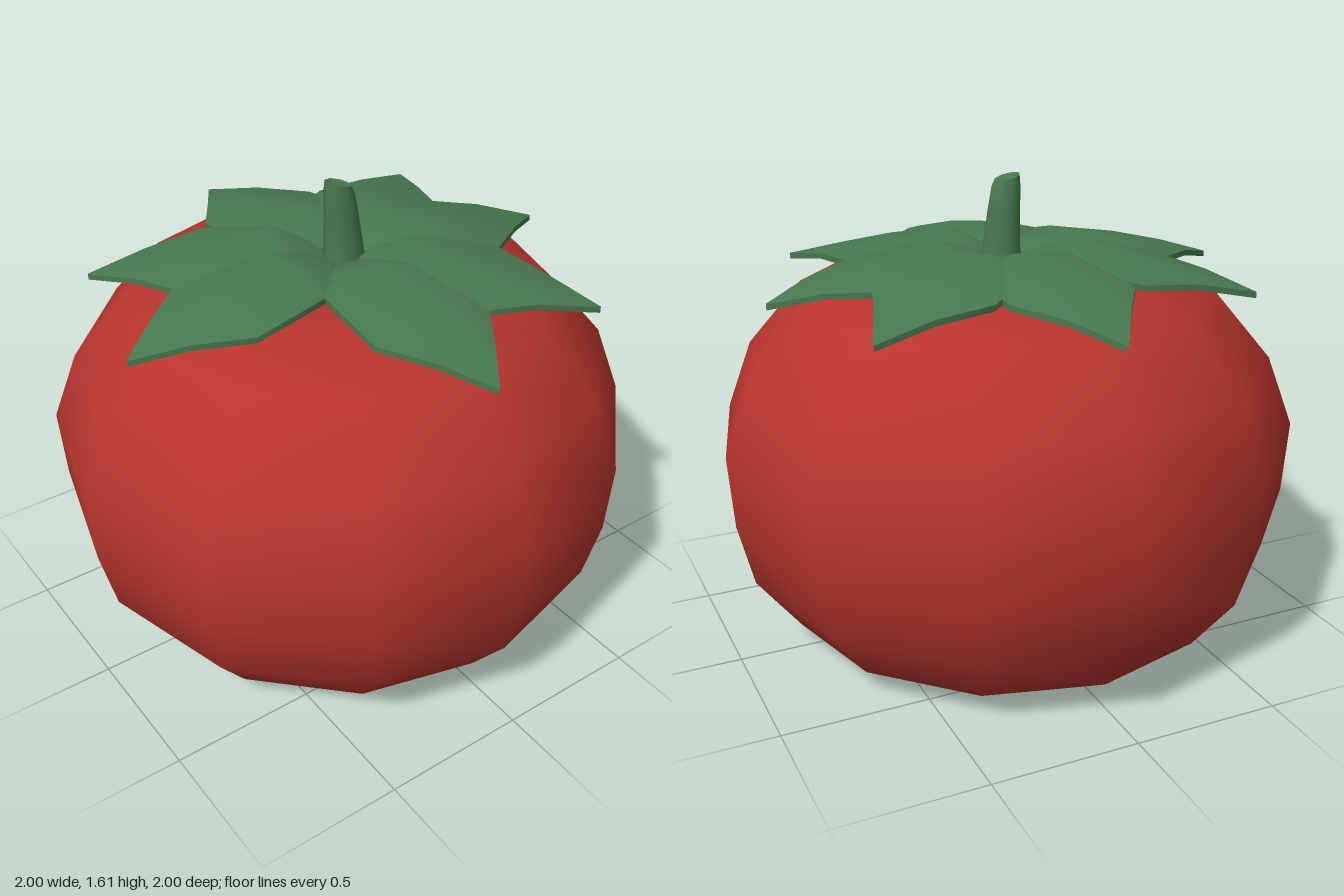
import * as THREE from 'three';
import { toCreasedNormals } from 'three/addons/utils/BufferGeometryUtils.js';

const red = new THREE.MeshStandardMaterial({ color: 0xb8352e });
const green = new THREE.MeshStandardMaterial({ color: 0x48784f });

// Twelve-sided squat fruit with a shallow hollow under the leaves
function createFruit() {
  const profile = [
    [0, 0], [0.47, 0], [0.78, 0.085], [0.93, 0.28], [0.983, 0.5], [1, 0.75],
    [0.91, 0.99], [0.715, 1.22], [0.5, 1.29], [0.25, 1.27], [0, 1.23],
  ].map(([r, y]) => new THREE.Vector2(r, y));
  const mesh = new THREE.Mesh(new THREE.LatheGeometry(profile, 12), red);
  mesh.name = 'fruit';
  return mesh;
}

// Thin arched leaf running along +x: each row is [distance, half width, crest height]
function leafGeometry(length) {
  const rows = [
    [0.05, 0.06, 1.33], [0.11, 0.15, 1.36], [0.24, 0.225, 1.392],
    [0.5, 0.22, 1.345], [0.67, 0.107, 1.3], [length, 0.003, 1.248],
  ];
  const across = [-1, -0.5, 0, 0.5, 1];
  const thickness = 0.02;
  const positions = [];
  const index = [];
  const n = across.length * 2;
  for (const [x, w, y] of rows) {
    const top = across.map((u) => [x, y - 0.75 * (u * w) ** 2, u * w]);
    const bottom = top.map(([px, py, pz]) => [px, py - thickness, pz]).reverse();
    positions.push(...top.flat(), ...bottom.flat());
  }
  for (let i = 0; i < rows.length - 1; i++) {
    for (let j = 0; j < n; j++) {
      const a = i * n + j;
      const b = i * n + ((j + 1) % n);
      index.push(a, b, a + n, b, b + n, a + n);
    }
  }
  const geometry = new THREE.BufferGeometry();
  geometry.setAttribute('position', new THREE.Float32BufferAttribute(positions, 3));
  geometry.setIndex(index);
  return toCreasedNormals(geometry, 0.8);
}

// Seven leaves around the stem, each given by its tip (x, z)
function createLeaves() {
  const group = new THREE.Group();
  group.name = 'leaves';
  const tips = [
    [-0.01, -0.84], [0.66, -0.53], [0.83, 0.02], [0.57, 0.65],
    [-0.01, 0.82], [-0.83, 0.05], [-0.68, -0.51],
  ];
  tips.forEach(([x, z], i) => {
    const leaf = new THREE.Mesh(leafGeometry(Math.hypot(x, z)), green);
    leaf.rotation.y = -Math.atan2(z, x);
    leaf.name = `leaf${i + 1}`;
    group.add(leaf);
  });
  return group;
}

// Eight-sided stem, leaning slightly as it narrows, with an uneven cut top
function createStem() {
  const profile = [
    [0.085, 1.25], [0.068, 1.36], [0.058, 1.48], [0.052, 1.56], [0.044, 1.595], [0, 1.585],
  ].map(([r, y]) => new THREE.Vector2(r, y));
  const geometry = new THREE.LatheGeometry(profile, 8);
  const p = geometry.attributes.position;
  for (let i = 0; i < p.count; i++) {
    const t = (p.getY(i) - 1.25) / 0.35;
    const x = p.getX(i);
    if (t > 0.9) p.setY(i, p.getY(i) - x * 0.25);
    p.setX(i, x + 0.015 - 0.025 * t * t);
  }
  const mesh = new THREE.Mesh(toCreasedNormals(geometry, 0.9), green);
  mesh.name = 'stem';
  return mesh;
}

export function createModel() {
  const model = new THREE.Group();
  model.name = 'tomato';
  model.add(createFruit(), createLeaves(), createStem());
  return model;
}
